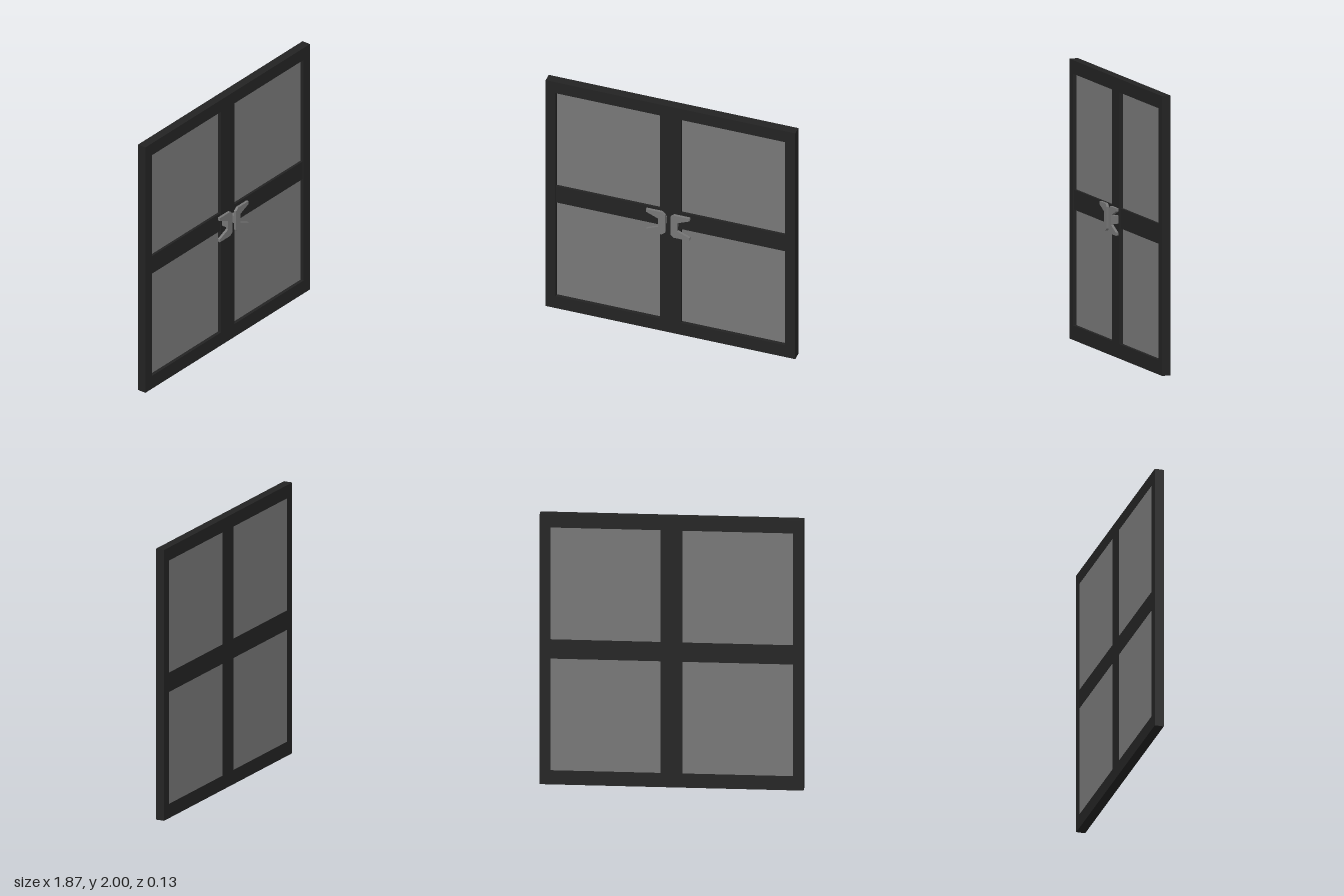
import * as THREE from 'three';

const BACK = -0.063, FRONT = 0.003;

export function createModel() {
  const frameMat = new THREE.MeshStandardMaterial({ color: 0x232323 });
  frameMat.name = 'charcoal frame';
  const greyMat = new THREE.MeshStandardMaterial({ color: 0x777777 });
  greyMat.name = 'mid grey';

  const model = new THREE.Group();
  model.name = 'doubleDoor';

  // Box given by its minimum and maximum on each axis
  const box = (parent, name, mat, x0, x1, y0, y1, z0, z1) => {
    const mesh = new THREE.Mesh(new THREE.BoxGeometry(Math.abs(x1 - x0), y1 - y0, z1 - z0), mat);
    mesh.position.set((x0 + x1) / 2, (y0 + y1) / 2, (z0 + z1) / 2);
    mesh.name = name;
    parent.add(mesh);
  };

  for (const s of [-1, 1]) {
    const side = s > 0 ? 'left' : 'right';
    const leaf = new THREE.Group();
    leaf.name = side + 'Door';
    model.add(leaf);

    // Stiles and rails
    box(leaf, 'outerStile', frameMat, s * 0.86, s * 0.935, 0, 2, BACK, FRONT);
    box(leaf, 'innerStile', frameMat, 0, s * 0.078, 0, 2, BACK, FRONT);
    box(leaf, 'bottomRail', frameMat, s * 0.078, s * 0.86, 0, 0.105, BACK, FRONT);
    box(leaf, 'topRail', frameMat, s * 0.078, s * 0.86, 1.903, 2, BACK, FRONT);
    box(leaf, 'middleRail', frameMat, s * 0.078, s * 0.86, 0.932, 1.075, BACK, FRONT - 0.006);

    // Panes, set back from the front
    box(leaf, 'lowerPane', greyMat, s * 0.078, s * 0.86, 0.105, 0.932, BACK + 0.001, -0.022);
    box(leaf, 'upperPane', greyMat, s * 0.078, s * 0.86, 1.075, 1.903, BACK + 0.001, -0.022);

    // Bracket-shaped handle on a short stem
    const handle = new THREE.Group();
    handle.name = side + 'Handle';
    handle.position.y = s > 0 ? 0.992 : 0.998;
    leaf.add(handle);
    const half = [[0.163, 0.075], [0.163, 0.098], [0.045, 0.098], [0.02, 0.077]];
    const outline = [[0.071, 0.036], ...half,
      ...half.slice().reverse().map(([x, y]) => [x, -y]), [0.071, -0.036]];
    const shape = new THREE.Shape(outline.map(([x, y]) => new THREE.Vector2(s * x, y)));
    const grip = new THREE.Mesh(
      new THREE.ExtrudeGeometry(shape, { depth: 0.019, bevelEnabled: false }), greyMat);
    grip.position.z = 0.044;
    grip.name = 'grip';
    handle.add(grip);
    box(handle, 'stem', greyMat, s * 0.026, s * 0.062, -0.029, 0.029, FRONT - 0.002, 0.045);
  }
  return model;
}
